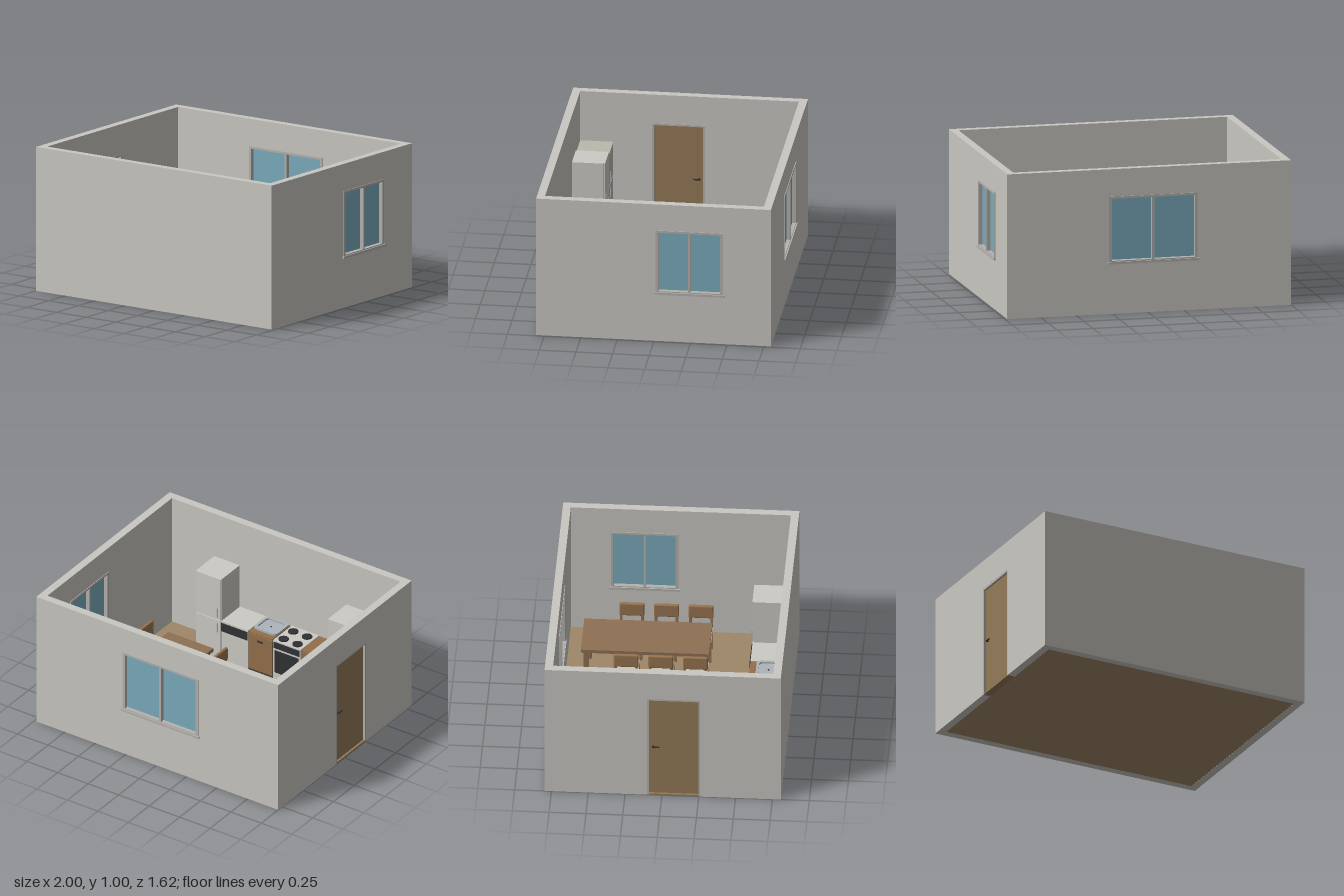
import * as THREE from 'three';
import { RoundedBoxGeometry } from 'three/addons/geometries/RoundedBoxGeometry.js';

const mat = (color) => new THREE.MeshStandardMaterial({ color });
const M = {
  wall: mat(0xc9c7c1), trim: mat(0xb4b2ae), glass: mat(0x7aabbc), floor: mat(0x9f8768),
  door: mat(0x947a58), table: mat(0x8f7054), chair: mat(0x98744f), seat: mat(0xccc6b6),
  white: mat(0xcccac4), fridge: mat(0xbbb8ac), wood: mat(0x946f4b), black: mat(0x303134),
  steel: mat(0xaeb4ba), dark: mat(0x54463a),
};

// Room limits: outer and inner wall faces
const X0 = -1, X1 = 0.985, Z0 = -0.797, Z1 = 0.807, T = 0.055, H = 1;

function mesh(parent, name, geo, material, x = 0, y = 0, z = 0) {
  const m = new THREE.Mesh(geo, material);
  m.name = name;
  m.position.set(x, y, z);
  parent.add(m);
  return m;
}

// Box given by its limits on each axis
function box(parent, name, material, x0, x1, y0, y1, z0, z1) {
  return mesh(parent, name, new THREE.BoxGeometry(x1 - x0, y1 - y0, z1 - z0), material,
    (x0 + x1) / 2, (y0 + y1) / 2, (z0 + z1) / 2);
}

function group(parent, name) {
  const g = new THREE.Group();
  g.name = name;
  parent.add(g);
  return g;
}

function rect(path, x0, x1, y0, y1) {
  path.moveTo(x0, y0);
  path.lineTo(x1, y0);
  path.lineTo(x1, y1);
  path.lineTo(x0, y1);
  path.closePath();
  return path;
}

// Upright panel with rectangular openings, each [x0, x1, y0, y1]
function panel(outer, holes, depth) {
  const shape = rect(new THREE.Shape(), ...outer);
  for (const h of holes) shape.holes.push(rect(new THREE.Path(), ...h));
  return new THREE.ExtrudeGeometry(shape, { depth, bevelEnabled: false });
}

function roundedRect(path, w, d, r) {
  const corners = [[1, -1, -0.5], [1, 1, 0], [-1, 1, 0.5], [-1, -1, 1]];
  for (const [sx, sy, a] of corners) {
    path.absarc(sx * (w / 2 - r), sy * (d / 2 - r), r, a * Math.PI, (a + 0.5) * Math.PI);
  }
  path.closePath();
  return path;
}

// Two-pane window; local z points out of the wall
function makeWindow(parent, name, w) {
  const g = group(parent, name);
  const a = w / 2, b = a - 0.02, y0 = 0.36, y1 = 0.81;
  const frame = panel([-a, a, y0, y1],
    [[-b, -0.008, y0 + 0.007, y1 - 0.015], [0.008, b, y0 + 0.007, y1 - 0.015]], T + 0.01);
  mesh(g, 'windowFrame', frame, M.trim, 0, 0, -T / 2 - 0.005);
  for (const s of [-1, 1]) {
    mesh(g, 'windowPane', new THREE.BoxGeometry(b, y1 - y0 - 0.02, 0.012), M.glass, s * b / 2, (y0 + y1) / 2, 0);
  }
  box(g, 'windowSill', M.trim, -a - 0.01, a + 0.01, 0.344, 0.36, -0.041, 0.041);
  return g;
}

function makeRoom(root) {
  const room = group(root, 'room');
  const door = [-0.1, 0.26, 0, 0.79];
  box(room, 'floor', M.floor, X0 + T, X1 - T, 0.001, 0.012, Z0 + T, Z1 - T);
  box(room, 'frontWall', M.wall, X0, X1, 0, H, Z1 - T, Z1);
  mesh(room, 'backWall', panel([X0, X1, 0, H], [[-0.34, 0.27, 0.35, 0.805]], T), M.wall, 0, 0, Z0);

  const side = [Z0 + T, Z1 - T, 0, H];
  const left = mesh(room, 'leftWall', panel(side, [[-0.465, -0.015, 0.35, 0.805]], T), M.wall, X1);
  left.rotation.y = -Math.PI / 2;
  // The doorway reaches the floor, so it is part of the outline
  const s = new THREE.Shape();
  const outline = [[side[0], 0], [door[0], 0], [door[0], door[3]], [door[1], door[3]],
    [door[1], 0], [side[1], 0], [side[1], H], [side[0], H]];
  s.setFromPoints(outline.map(([x, y]) => new THREE.Vector2(x, y)));
  const right = mesh(room, 'rightWall',
    new THREE.ExtrudeGeometry(s, { depth: T, bevelEnabled: false }), M.wall, X0 + T);
  right.rotation.y = -Math.PI / 2;

  const backWindow = makeWindow(room, 'backWindow', 0.62);
  backWindow.position.set(-0.035, 0, Z0 + T / 2);
  backWindow.rotation.y = Math.PI;
  const leftWindow = makeWindow(room, 'leftWindow', 0.46);
  leftWindow.position.set(X1 - T / 2, 0, -0.24);
  leftWindow.rotation.y = Math.PI / 2;

  // Door with frame, threshold and a lever on both faces
  const d = group(room, 'door'), cx = X0 + T / 2;
  box(d, 'doorLeaf', M.door, cx - 0.01, cx + 0.01, 0.004, 0.778, -0.088, 0.248);
  box(d, 'threshold', M.door, X0 + 0.002, X0 + T, 0, 0.01, -0.1, 0.26);
  for (const [z0, z1] of [[-0.1, -0.088], [0.248, 0.26]]) {
    box(d, 'doorJamb', M.trim, X0 + 0.001, X0 + T + 0.003, 0, 0.79, z0, z1);
  }
  box(d, 'doorHead', M.trim, X0 + 0.001, X0 + T + 0.003, 0.778, 0.79, -0.088, 0.248);
  for (const k of [-1, 1]) {
    const pin = mesh(d, 'handlePin', new THREE.CylinderGeometry(0.008, 0.008, 0.014, 16), M.black, cx + k * 0.016, 0.39, -0.06);
    pin.rotation.z = Math.PI / 2;
    mesh(d, 'doorLever', new RoundedBoxGeometry(0.007, 0.01, 0.05, 2, 0.003), M.black, cx + k * 0.022, 0.39, -0.043);
  }
}

// Chair centred on its seat, back rest on the -x side
function makeChair(parent, x, z, turn) {
  const c = group(parent, 'chair');
  c.position.set(x, 0.012, z);
  c.rotation.y = turn;
  mesh(c, 'seat', new RoundedBoxGeometry(0.17, 0.02, 0.165, 2, 0.006), M.seat, 0.01, 0.175, 0);
  box(c, 'seatFrame', M.chair, -0.07, 0.085, 0.15, 0.166, -0.075, 0.075);
  mesh(c, 'backRest', new RoundedBoxGeometry(0.025, 0.1, 0.17, 3, 0.01), M.chair, -0.09, 0.3, 0);
  for (const s of [-1, 1]) {
    const z0 = s * 0.072;
    box(c, 'backLeg', M.chair, -0.095, -0.077, 0, 0.3, z0 - 0.009, z0 + 0.009);
    box(c, 'frontLeg', M.chair, 0.07, 0.088, 0, 0.165, z0 - 0.009, z0 + 0.009);
  }
}

function makeDining(root) {
  const g = group(root, 'diningSet');
  box(g, 'tableTop', M.table, 0.24, 0.61, 0.285, 0.31, -0.63, 0.24);
  for (const x of [0.275, 0.575]) for (const z of [-0.595, 0.205]) {
    box(g, 'tableLeg', M.table, x - 0.018, x + 0.018, 0.012, 0.285, z - 0.018, z + 0.018);
  }
  for (const z of [-0.315, -0.08, 0.155]) {
    makeChair(g, 0.22, z, 0);
    makeChair(g, 0.65, z, Math.PI);
  }
}

function makeKitchen(root) {
  const k = group(root, 'kitchen');
  const zf = 0.53, zb = Z1 - T, top = 0.33;

  // Tall units and fridge: body, two doors and upright handles
  const tall = (name, x0, x1, h, material, split, hx) => {
    const g = group(k, name);
    box(g, 'body', material, x0, x1, 0.012, h, zf + 0.008, zb);
    for (const [a, b] of [[0.03, split - 0.003], [split + 0.003, h]]) {
      box(g, 'unitDoor', material, x0 + 0.002, x1 - 0.002, a, b, zf - 0.004, zf + 0.008);
    }
    for (const y of [split - 0.06, split + 0.06]) {
      box(g, 'handle', M.steel, hx - 0.004, hx + 0.004, y - 0.035, y + 0.035, zf - 0.011, zf - 0.004);
    }
  };
  tall('fridge', -0.943, -0.717, 0.64, M.fridge, 0.4, -0.765);
  tall('tallCabinetRight', -0.714, -0.502, 0.66, M.white, 0.33, -0.53);
  tall('tallCabinetLeft', 0.374, 0.582, 0.66, M.white, 0.33, 0.4);

  // Wooden base cabinets
  for (const [x0, x1] of [[-0.5, -0.28], [-0.05, 0.152]]) {
    const g = group(k, 'baseCabinet'), c = (x0 + x1) / 2;
    box(g, 'cabinetBody', M.dark, x0, x1, 0.012, top - 0.008, zf + 0.005, zb);
    box(g, 'worktop', M.wood, x0 + 0.005, x1 - 0.005, top - 0.008, top, zf, zb - 0.005);
    box(g, 'cabinetDoor', M.wood, x0 + 0.004, x1 - 0.004, 0.04, top - 0.012, zf - 0.003, zf + 0.005);
    box(g, 'handle', M.black, c - 0.022, c + 0.022, 0.275, 0.283, zf - 0.012, zf - 0.003);
  }

  // Cooker with four hotplates
  const cooker = group(k, 'cooker');
  box(cooker, 'cookerBody', M.white, -0.278, -0.052, 0.012, top, zf - 0.002, zb);
  box(cooker, 'controlPanel', M.black, -0.27, -0.06, 0.275, 0.32, zf - 0.009, zf - 0.002);
  box(cooker, 'ovenDoor', M.black, -0.262, -0.068, 0.08, 0.255, zf - 0.006, zf - 0.002);
  for (const x of [-0.222, -0.108]) for (const z of [0.575, 0.69]) {
    mesh(cooker, 'hotplate', new THREE.CylinderGeometry(0.035, 0.035, 0.008, 32), M.black, x, top + 0.004, z);
  }

  // Dishwasher with dark control panel
  const washer = group(k, 'dishwasher');
  box(washer, 'washerBody', M.white, 0.154, 0.372, 0.012, top, zf - 0.002, zb);
  box(washer, 'controlPanel', M.black, 0.156, 0.37, 0.255, 0.318, zf - 0.009, zf - 0.002);

  // Sink: outer bowl rim, sloped inner walls, bottom and drain
  const sink = group(k, 'sink');
  sink.position.set(0.05, top, 0.657);
  const rim = roundedRect(new THREE.Shape(), 0.19, 0.17, 0.03);
  rim.holes.push(roundedRect(new THREE.Path(), 0.15, 0.135, 0.025));
  const rimMesh = mesh(sink, 'sinkRim', new THREE.ExtrudeGeometry(rim, { depth: 0.014, bevelEnabled: false }), M.steel);
  rimMesh.rotation.x = -Math.PI / 2;
  const bottom = roundedRect(new THREE.Shape(), 0.16, 0.145, 0.025);
  mesh(sink, 'sinkBottom', new THREE.ShapeGeometry(bottom), M.steel, 0, 0.002, 0).rotation.x = -Math.PI / 2;
  mesh(sink, 'drain', new THREE.CylinderGeometry(0.006, 0.006, 0.004, 16), M.black, 0, 0.003, 0);
}

export function createModel() {
  const root = new THREE.Group();
  root.name = 'kitchenRoom';
  makeRoom(root);
  makeDining(root);
  makeKitchen(root);
  return root;
}
